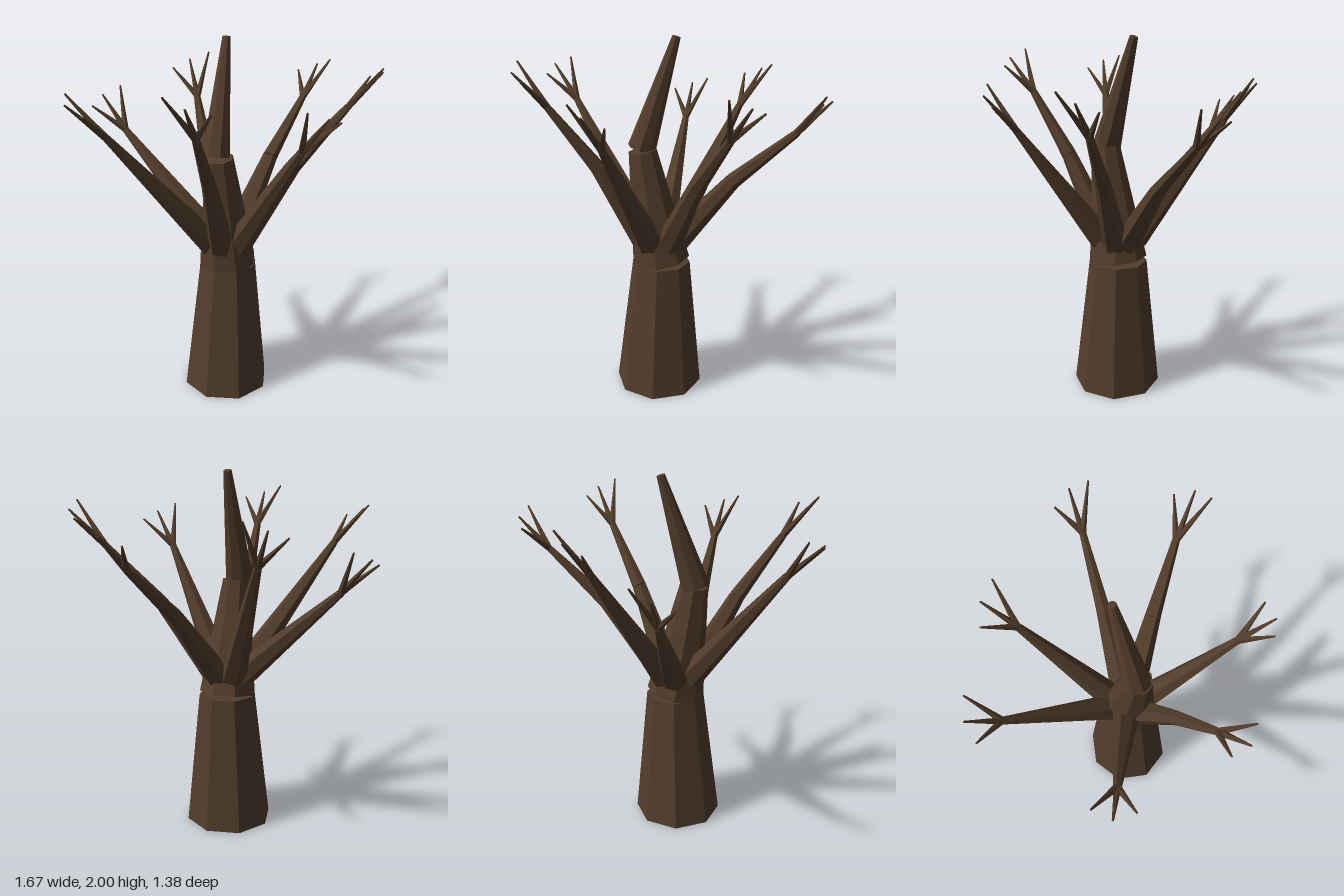
import * as THREE from 'three';

const bark = new THREE.MeshStandardMaterial({ color: 0x523d2b, flatShading: true });
const V = (p) => new THREE.Vector3(...p);

// Tapered, capped limb running from point a to point b
function limb(name, a, b, ra, rb, sides) {
  const dir = b.clone().sub(a);
  const geo = new THREE.CylinderGeometry(rb, ra, dir.length(), sides);
  const mesh = new THREE.Mesh(geo, bark);
  mesh.name = name;
  mesh.position.copy(a).add(b).multiplyScalar(0.5);
  mesh.quaternion.setFromUnitVectors(new THREE.Vector3(0, 1, 0), dir.normalize());
  return mesh;
}

// Each branch: fork point, three twig tips, and whether it bends halfway
const branches = [
  { fork: [0, 1.57, -0.53], tips: [[-0.11, 1.72, -0.66], [0, 1.76, -0.69], [0.11, 1.8, -0.66]] },
  { fork: [0.6, 1.56, -0.37], bent: true, tips: [[0.63, 1.69, -0.52], [0.73, 1.73, -0.47], [0.77, 1.77, -0.38]] },
  { fork: [0.65, 1.61, 0.11], bent: true, tips: [[0.81, 1.76, 0.05], [0.83, 1.8, 0.15], [0.78, 1.84, 0.24]] },
  { fork: [0.22, 1.54, 0.53], tips: [[0.175, 1.77, 0.68], [0.285, 1.73, 0.675], [0.38, 1.69, 0.61]] },
  { fork: [-0.3, 1.65, 0.53], bent: true, tips: [[-0.27, 1.8, 0.685], [-0.385, 1.83, 0.675], [-0.465, 1.87, 0.6]] },
  { fork: [-0.65, 1.58, 0.15], tips: [[-0.82, 1.79, 0.08], [-0.835, 1.76, 0.18], [-0.77, 1.72, 0.27]] },
  { fork: [-0.44, 1.42, -0.49], tips: [[-0.43, 1.64, -0.65], [-0.54, 1.6, -0.62], [-0.615, 1.56, -0.54]] },
];

function makeBranch({ fork, tips, bent }) {
  const group = new THREE.Group();
  group.name = 'branch';
  const end = V(fork);
  // Root sits inside the trunk, pushed out towards the fork
  const out = new THREE.Vector3(end.x, 0, end.z - 0.03).normalize();
  const root = new THREE.Vector3(0, 0.89, 0.03).addScaledVector(out, 0.09);
  if (bent) {
    const mid = root.clone().lerp(end, 0.5);
    mid.y += 0.05;
    group.add(limb('lowerBranch', root, mid, 0.075, 0.042, 6));
    group.add(limb('upperBranch', mid, end, 0.042, 0.02, 6));
  } else {
    group.add(limb('wholeBranch', root, end, 0.075, 0.02, 6));
  }
  for (const tip of tips) group.add(limb('twig', end, V(tip), 0.019, 0.005, 5));
  return group;
}

export function createModel() {
  const tree = new THREE.Group();
  tree.name = 'bareTree';

  // Trunk base: upright, with its top shifted slightly off centre
  const base = limb('trunkBase', V([0, 0, 0.04]), V([0, 0.765, 0.04]), 0.245, 0.16, 8);
  const pos = base.geometry.attributes.position;
  for (let i = 0; i < pos.count; i++) {
    if (pos.getY(i) > 0) {
      pos.setX(i, pos.getX(i) + 0.012);
      pos.setZ(i, pos.getZ(i) - 0.01);
    }
  }
  base.geometry.computeVertexNormals();
  tree.add(base);

  // Leaning middle and top of the trunk, each cut square to its own axis
  tree.add(limb('trunkMiddle', V([0.01, 0.773, 0.03]), V([-0.06, 1.4, 0.1]), 0.16, 0.077, 8));
  tree.add(limb('trunkTop', V([-0.075, 1.405, 0.095]), V([0.03, 1.995, -0.055]), 0.077, 0.022, 8));

  for (const b of branches) tree.add(makeBranch(b));
  return tree;
}
